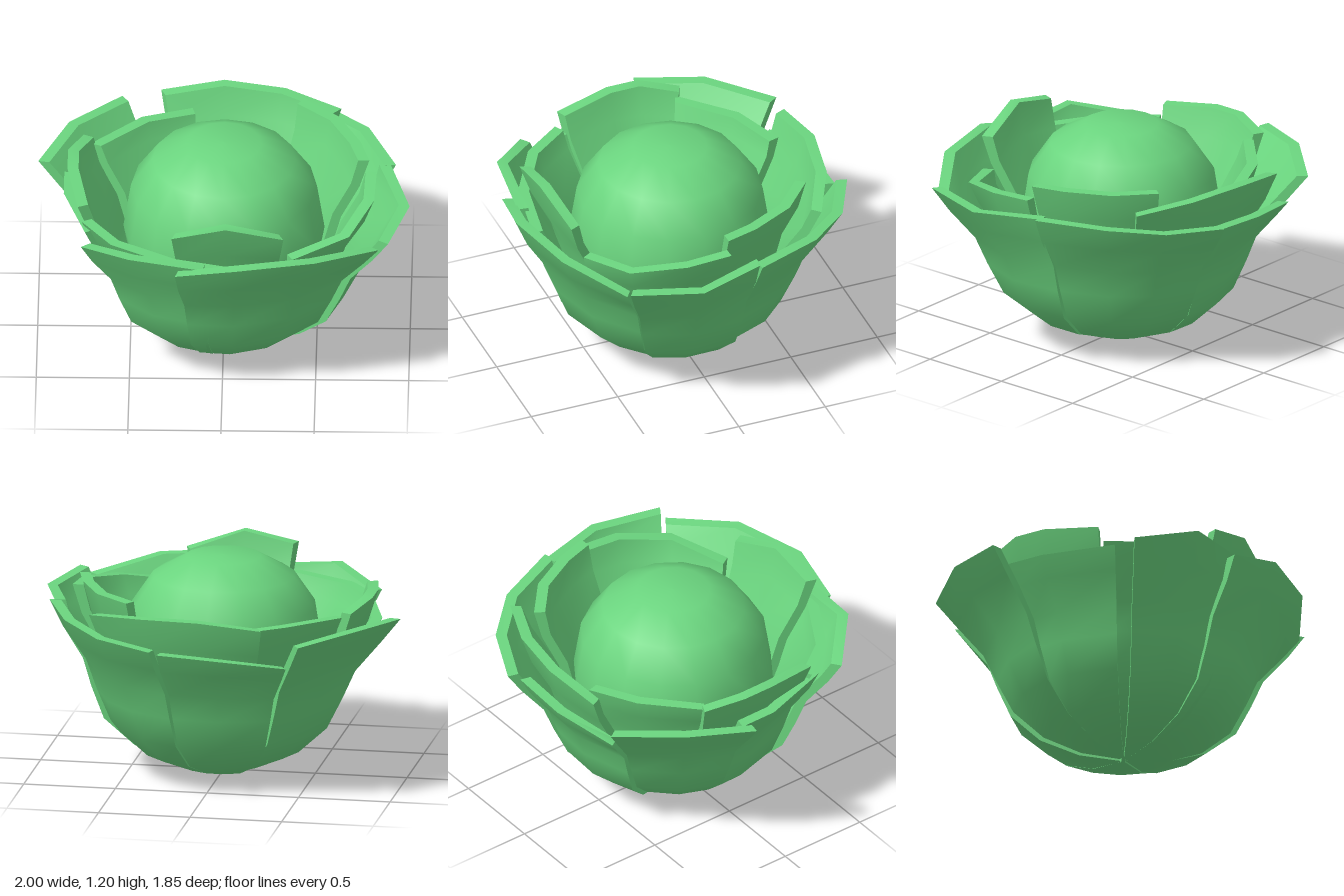
import * as THREE from 'three';
import { toCreasedNormals } from 'three/addons/utils/BufferGeometryUtils.js';

const THICK = 0.05;
// Bowl cross-section: radius, height, and how strongly the rim's flare pulls it
const BOWL = [
  [0.02, 0.005, 0], [0.24, 0.04, 0], [0.45, 0.13, 0.02], [0.61, 0.28, 0.1],
  [0.685, 0.46, 0.25], [0.74, 0.62, 0.4], [0.86, 0.8, 0.65], [0.93, 0.95, 1],
];

// Thick curved leaf: every rim point [x, z, y] drops along the bowl to the stem
function leafGeometry(rim, scale, lift) {
  const outer = [], inner = [];
  const m = BOWL.length - 1, n = rim.length - 1;
  for (const [x, z, y] of rim) {
    const a = Math.atan2(x, z);
    const flare = Math.hypot(x, z) - BOWL[m][0] * scale;
    const rise = (y - lift) / BOWL[m][1];
    const line = BOWL.map(([r, h, w]) => [
      r * scale + flare * w,
      lift + h * (1 + (rise - 1) * w),
    ]);
    const place = (r, h) => new THREE.Vector3(Math.sin(a) * r, h, Math.cos(a) * r);
    outer.push(line.map(([r, h]) => place(r, h)));
    inner.push(line.map(([r, h], i) => {
      // the rim is cut level, the rest is offset along the normal
      if (i === m) return place(r - THICK * 1.2, h);
      const p = line[Math.max(i - 1, 0)], q = line[i + 1];
      const dr = q[0] - p[0], dh = q[1] - p[1], len = Math.hypot(dr, dh);
      return place(Math.max(r - THICK * dh / len, 0.01), h + THICK * dr / len);
    }));
  }
  const pos = [];
  const quad = (a, b, c, d) => [a, b, c, a, c, d].forEach((v) => pos.push(v.x, v.y, v.z));
  for (let u = 0; u < n; u++) {
    for (let v = 0; v < m; v++) {
      quad(outer[u][v], outer[u + 1][v], outer[u + 1][v + 1], outer[u][v + 1]);
      quad(inner[u + 1][v], inner[u][v], inner[u][v + 1], inner[u + 1][v + 1]);
    }
    quad(outer[u][m], outer[u + 1][m], inner[u + 1][m], inner[u][m]);
  }
  for (let v = 0; v < m; v++) {
    quad(inner[0][v], outer[0][v], outer[0][v + 1], inner[0][v + 1]);
    quad(outer[n][v], inner[n][v], inner[n][v + 1], outer[n][v + 1]);
  }
  const g = new THREE.BufferGeometry();
  g.setAttribute('position', new THREE.Float32BufferAttribute(pos, 3));
  return toCreasedNormals(g, 0.85);
}

export function createModel() {
  const group = new THREE.Group();
  const green = new THREE.MeshStandardMaterial({ color: 0x6bd57f, side: THREE.DoubleSide });
  const add = (name, geometry) => {
    const mesh = new THREE.Mesh(geometry, green);
    mesh.name = name;
    group.add(mesh);
  };

  // Round heart
  const profile = [[0, 0.13], [0.2, 0.16], [0.38, 0.27], [0.5, 0.44], [0.54, 0.66],
    [0.5, 0.92], [0.385, 1.09], [0.2, 1.195], [0, 1.2]];
  add('heart', new THREE.LatheGeometry(profile.map(([r, y]) => new THREE.Vector2(r, y)), 16));

  const leaf = (scale, lift) => (name, ...rim) => add(name, leafGeometry(rim, scale, lift));
  const wide = leaf(1.07, 0.01), outer = leaf(1, 0), tucked = leaf(0.95, 0.01);
  const middle = leaf(0.93, 0.03), inner = leaf(0.86, 0.08);

  // Outer leaves
  outer('outerLeafFrontLeft', [-0.25, 0.87, 0.91], [0.08, 0.92, 0.98], [0.5, 0.82, 0.97], [0.84, 0.58, 0.9]);
  wide('outerLeafLeft', [0.89, 0.58, 0.94], [1, 0.2, 0.93], [0.89, -0.18, 0.95]);
  outer('outerLeafBackLeft', [0.92, -0.17, 0.95], [0.77, -0.54, 0.94], [0.55, -0.78, 0.91], [0.24, -0.93, 0.89]);
  outer('outerLeafBack', [0.21, -0.87, 0.86], [-0.12, -0.87, 0.84], [-0.48, -0.77, 0.79]);
  tucked('outerLeafBackRight', [-0.56, -0.84, 0.93], [-0.84, -0.54, 0.96], [-1, -0.19, 0.94]);
  tucked('outerLeafRight', [-0.86, -0.18, 0.88], [-0.86, 0.03, 0.88], [-0.74, 0.42, 0.89]);
  outer('outerLeafFrontRight', [-0.76, 0.56, 0.89], [-0.5, 0.8, 0.97], [-0.1, 0.84, 0.93]);

  // Middle leaves
  middle('middleLeafRight', [-0.76, -0.36, 1.0], [-0.84, -0.15, 1.04], [-0.84, 0.03, 1.04], [-0.78, 0.34, 1.0]);
  middle('middleLeafBack', [0.62, -0.63, 1.0], [0.32, -0.78, 1.03], [-0.01, -0.84, 1.04], [-0.35, -0.8, 1.0]);
  middle('middleLeafFrontRight', [-0.76, 0.36, 0.92], [-0.6, 0.58, 0.92], [-0.27, 0.77, 0.92], [0.1, 0.83, 0.9]);
  middle('middleLeafLeft', [0.38, 0.65, 0.88], [0.68, 0.5, 0.93], [0.81, 0.22, 0.98], [0.82, -0.03, 1.0]);

  // Inner leaves
  inner('innerLeafFront', [-0.27, 0.76, 1.08], [0.02, 0.76, 1.14], [0.33, 0.7, 1.04]);
  inner('innerLeafBackLeft', [0.78, -0.03, 1.07], [0.73, -0.21, 1.07], [0.61, -0.45, 1.07], [0.42, -0.62, 1.07]);
  inner('innerLeafBackRight', [-0.18, -0.7, 0.95], [-0.45, -0.58, 0.97], [-0.72, -0.32, 0.97]);
  return group;
}
